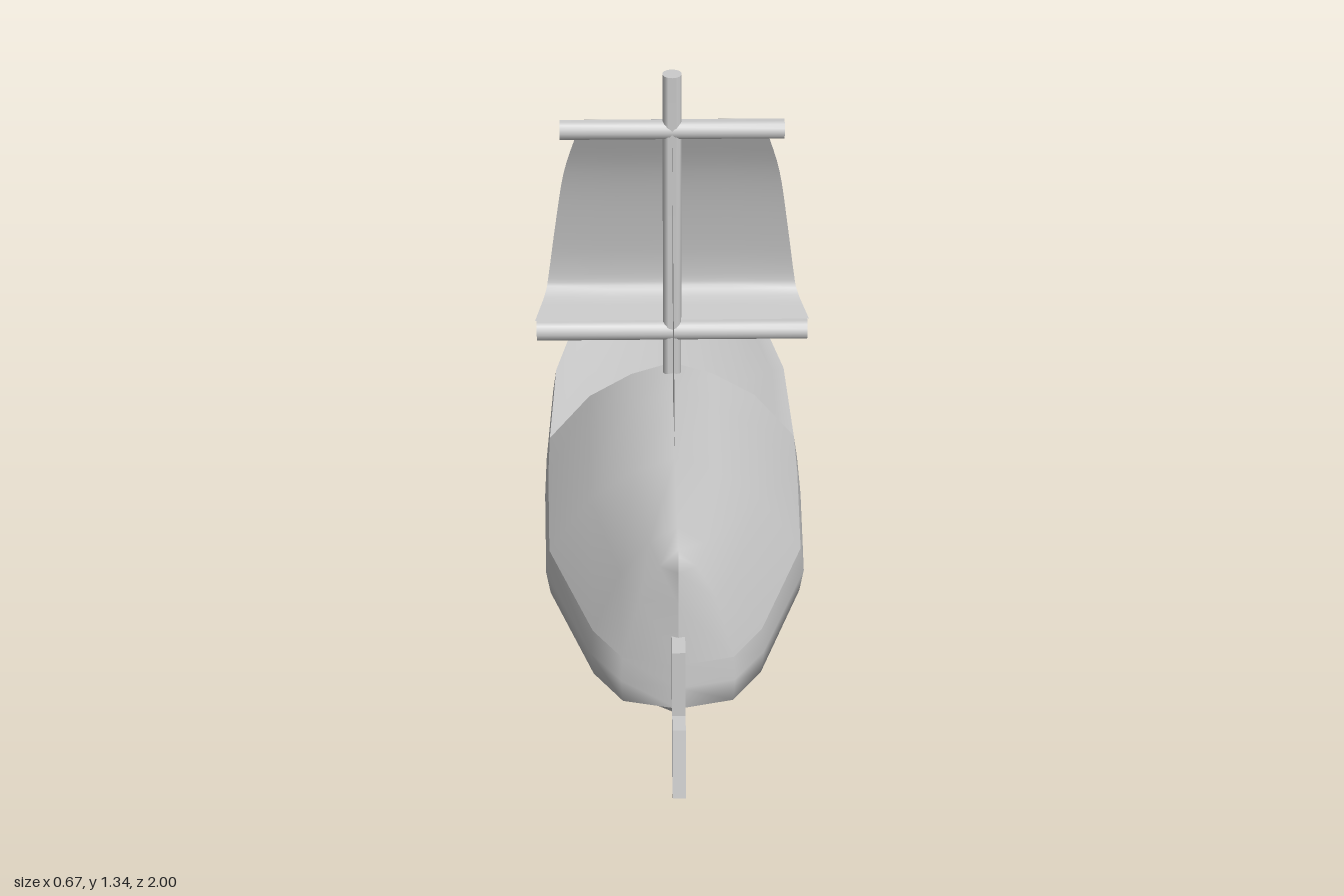
import * as THREE from 'three';
import { toCreasedNormals } from 'three/addons/utils/BufferGeometryUtils.js';

const mat = new THREE.MeshStandardMaterial({ color: 0xcccccc, side: THREE.DoubleSide });

// Hull stations, bow to stern: z, half width, keel height
const STATIONS = [
  [-1, 0, 0.23], [-0.9, 0.115, 0.135], [-0.82, 0.2, 0.115], [-0.68, 0.25, 0.085],
  [-0.38, 0.31, 0.03], [-0.06, 0.32, 0.007], [0.1, 0.32, 0.007], [0.42, 0.31, 0.03],
  [0.73, 0.2, 0.115], [0.83, 0.13, 0.15], [0.86, 0, 0.16],
];
const CABIN_Z = -0.06;
const GUNWALE_Y = 0.3;
const MAST_Z = -0.025;

// Skin a row of cross-sections, each a list of [x, y, z]
function loft(sections) {
  const n = sections[0].length;
  const index = [];
  for (let i = 0; i < sections.length - 1; i++) {
    for (let j = 0; j < n - 1; j++) {
      const a = i * n + j, d = a + n;
      index.push(a, a + 1, d + 1, a, d + 1, d);
    }
  }
  const geo = new THREE.BufferGeometry();
  geo.setAttribute('position', new THREE.Float32BufferAttribute(sections.flat(2), 3));
  geo.setIndex(index);
  geo.computeVertexNormals();
  return geo;
}

// Mirror a half section that runs from the +x edge to the centreline
function mirrored(half, z) {
  const left = half.map(([x, y]) => [x, y, z]);
  const right = half.slice(0, -1).reverse().map(([x, y]) => [-x, y, z]);
  return [...left, ...right];
}

// Plate drawn in the z-y plane, with thickness along x
function sidePlate(points, thickness, x = 0) {
  const shape = new THREE.Shape(points.map(([z, y]) => new THREE.Vector2(z, y)));
  const geo = new THREE.ExtrudeGeometry(shape, { depth: thickness, bevelEnabled: false });
  return geo.rotateY(-Math.PI / 2).translate(x + thickness / 2, 0, 0);
}

const hullHalf = ([, w, keel]) => [
  [0.97 * w, GUNWALE_Y],
  [w, Math.max(0.235, keel + 0.02)],
  [0.97 * w, Math.max(0.175, keel + 0.01)],
  [0.48 * w, keel + 0.018],
  [0, keel],
];

function roofHalf([z, w]) {
  const rise = 0.525 + (z - CABIN_Z) * 0.087 - GUNWALE_Y;
  return [
    [0.97 * w, GUNWALE_Y],
    [0.65 * w, GUNWALE_Y + 0.56 * rise],
    [0.32 * w, GUNWALE_Y + 0.85 * rise],
    [0, GUNWALE_Y + rise],
  ];
}

const deckHalf = ([, w]) => {
  const sink = Math.min(1, w / 0.2);
  return [
    [0.97 * w, GUNWALE_Y],
    [0.86 * w, GUNWALE_Y - 0.005 * sink],
    [0.65 * w, GUNWALE_Y - 0.035 * sink],
    [0.3 * w, GUNWALE_Y - 0.05 * sink],
    [0, GUNWALE_Y - 0.055 * sink],
  ];
};

export function createModel() {
  const model = new THREE.Group();
  const add = (name, geo) => {
    const mesh = new THREE.Mesh(geo, mat);
    mesh.name = name;
    model.add(mesh);
    return mesh;
  };

  // Hull shell, stern to bow
  add('hull', loft([...STATIONS].reverse().map((s) => mirrored(hullHalf(s), s[0]))));

  // Sunken foredeck and ridged cabin roof
  const fore = STATIONS.filter((s) => s[0] <= CABIN_Z);
  const aft = STATIONS.filter((s) => s[0] >= CABIN_Z);
  add('foredeck', loft(fore.map((s) => mirrored(deckHalf(s), s[0]))));
  add('cabinRoof', loft(aft.map((s) => mirrored(roofHalf(s), s[0]))));

  // Bulkhead closing the cabin towards the bow
  const outline = [...mirrored(roofHalf(aft[0]), 0), ...mirrored(deckHalf(aft[0]), 0).reverse().slice(1, -1)];
  const wall = new THREE.Shape(outline.map(([x, y]) => new THREE.Vector2(x, y)));
  add('bulkhead', new THREE.ShapeGeometry(wall).translate(0, 0, CABIN_Z));

  // Hatch: two sloping cheeks, a lid and a sill
  const hatchX = -0.09, hatchW = 0.14;
  for (const side of [-1, 1]) {
    add('hatchCheek', sidePlate(
      [[-0.06, 0.41], [-0.088, 0.41], [-0.122, 0.25], [-0.06, 0.25]],
      0.02, hatchX + side * (hatchW / 2 - 0.01)));
  }
  add('hatchLid', sidePlate([[-0.06, 0.41], [-0.088, 0.41], [-0.092, 0.39], [-0.06, 0.39]], hatchW, hatchX));
  add('hatchSill', sidePlate([[-0.06, 0.275], [-0.117, 0.275], [-0.122, 0.25], [-0.06, 0.25]], hatchW, hatchX));

  // Mast and yards
  const spar = (radius, length) =>
    toCreasedNormals(new THREE.CylinderGeometry(radius, radius, length, 14), 0.9);
  add('mast', spar(0.023, 1.095)).position.set(0, 0.7975, MAST_Z);
  for (const [name, y, length, r] of [['upperYard', 1.2, 0.53, 0.024], ['lowerYard', 0.645, 0.666, 0.026]]) {
    const yard = add(name, spar(r, length));
    yard.rotation.z = Math.PI / 2;
    yard.position.set(0, y, MAST_Z);
  }

  // Square sail bellying towards the bow: half width, height, z
  const sailCurve = new THREE.CatmullRomCurve3([
    [0.225, 1.19, -0.03], [0.26, 1.05, -0.09], [0.285, 0.88, -0.132],
    [0.305, 0.73, -0.152], [0.312, 0.69, -0.142], [0.337, 0.672, -0.025],
  ].map((p) => new THREE.Vector3(...p)));
  const sailRows = sailCurve.getPoints(20).map(({ x: w, y, z }) =>
    [-1, -0.5, 0, 0.5, 1].map((t) => [t * w, y, z]));
  add('squareSail', loft(sailRows));

  // Triangular sail between the masthead and the cabin ridge
  const stay = new THREE.Shape([[-0.025, 1.2], [0.38, 0.56], [0.13, 0.535]].map((p) => new THREE.Vector2(...p)));
  add('staySail', new THREE.ShapeGeometry(stay).rotateY(-Math.PI / 2));

  // Rudder stock and blade
  add('rudderStock', sidePlate([[0.83, 0.2], [0.915, 0.2], [0.915, 0.38], [0.83, 0.38]], 0.03));
  add('rudderBlade', sidePlate([[0.858, 0.03], [1, 0.03], [0.965, 0.2], [0.858, 0.2]], 0.03));

  return model;
}
